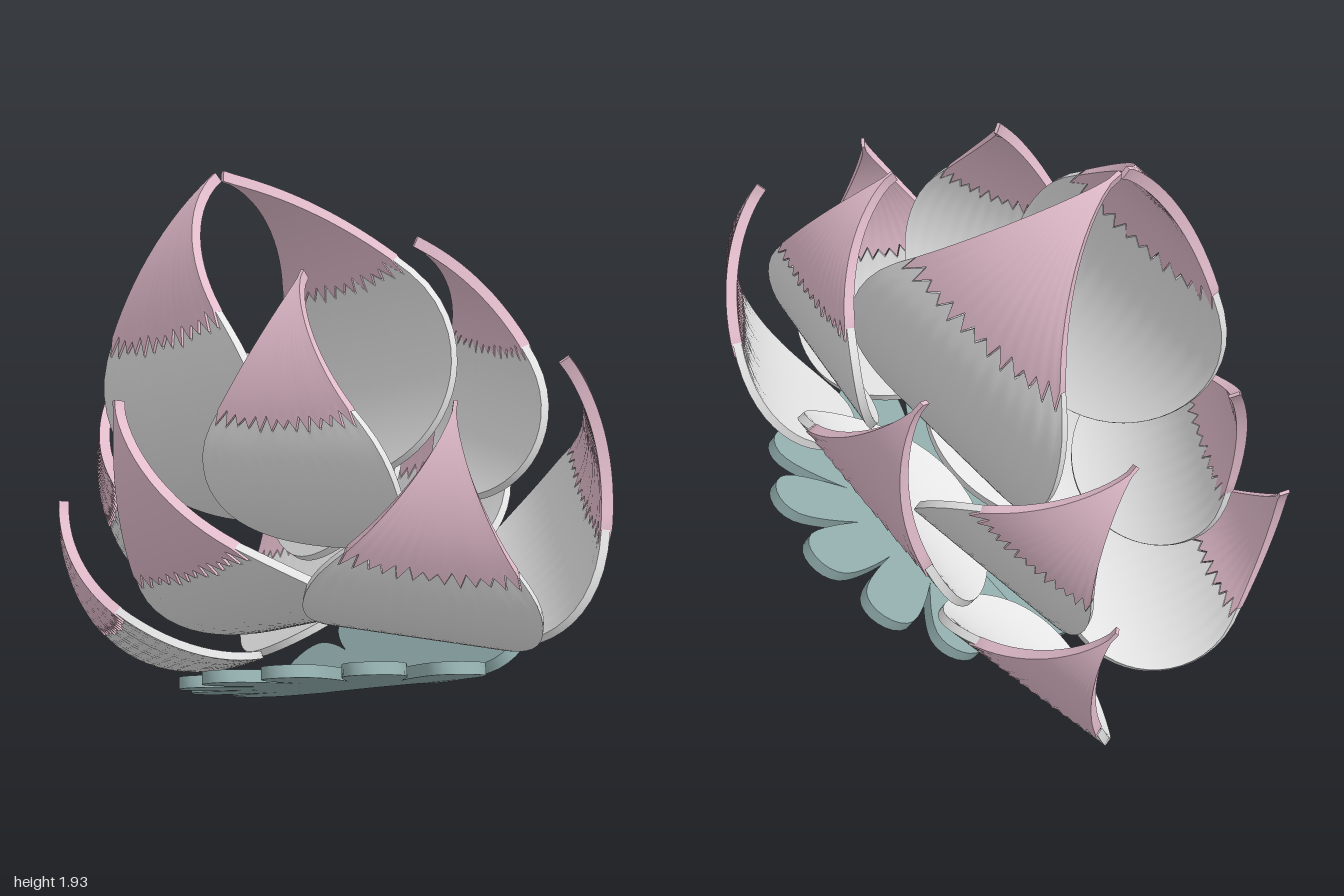
import * as THREE from 'three';
import { toCreasedNormals } from 'three/addons/utils/BufferGeometryUtils.js';

const V = (x, y, z) => new THREE.Vector3(x, y, z);

// Slightly tilted plane that divides the two halves of the bud
const planeN = V(-0.08, -0.03, 1).normalize();
const planeP = V(0, 0, -0.02);

function mirrored(geo) {
  const { x, y, z } = planeN;
  const k = 2 * planeN.dot(planeP);
  const m = new THREE.Matrix4().set(
    1 - 2 * x * x, -2 * x * y, -2 * x * z, k * x,
    -2 * x * y, 1 - 2 * y * y, -2 * y * z, k * y,
    -2 * x * z, -2 * y * z, 1 - 2 * z * z, k * z,
    0, 0, 0, 1);
  const g = geo.clone().applyMatrix4(m);
  // restore the corner order of each triangle
  for (const name of ['position', 'normal']) {
    const a = g.attributes[name];
    for (let i = 0; i < a.count; i += 3) {
      const p = V().fromBufferAttribute(a, i + 1);
      const q = V().fromBufferAttribute(a, i + 2);
      a.setXYZ(i + 1, q.x, q.y, q.z);
      a.setXYZ(i + 2, p.x, p.y, p.z);
    }
  }
  return g;
}

// Closed curved slab: outer and inner grids plus a rim
function slab(rows, cols, point, outer, inner) {
  const pos = [], idx = [];
  const layer = (rows + 1) * (cols + 1);
  for (const off of [outer, inner])
    for (let i = 0; i <= rows; i++)
      for (let j = 0; j <= cols; j++) pos.push(...point(i / rows, j, off).toArray());
  const id = (i, j) => i * (cols + 1) + j;
  for (let i = 0; i < rows; i++)
    for (let j = 0; j < cols; j++) {
      const [a, b, c, d] = [id(i, j), id(i + 1, j), id(i + 1, j + 1), id(i, j + 1)];
      idx.push(a, b, c, a, c, d);
      idx.push(a + layer, c + layer, b + layer, a + layer, d + layer, c + layer);
    }
  const rim = (a, b) => idx.push(b, a, a + layer, b, a + layer, b + layer);
  for (let i = 0; i < rows; i++) {
    rim(id(i, 0), id(i + 1, 0));
    rim(id(i + 1, cols), id(i, cols));
  }
  for (let j = 0; j < cols; j++) {
    rim(id(rows, j), id(rows, j + 1));
    rim(id(0, j + 1), id(0, j));
  }
  const g = new THREE.BufferGeometry();
  g.setAttribute('position', new THREE.Float32BufferAttribute(pos, 3));
  g.setIndex(idx);
  return toCreasedNormals(g, 0.6);
}

const SPLIT = 0.455; // where the tip meets the body along the petal
const COLS = 26;

// Half width along the petal: concave pointed tip, then a rounded body
function halfWidth(u) {
  if (u < SPLIT) return Math.max(0.012, 0.54 * Math.pow(u / SPLIT, 1.45));
  const x = -0.67 + 1.67 * (u - SPLIT) / (1 - SPLIT);
  return Math.max(0.012, 0.725 * Math.sqrt(Math.max(0, 1 - x * x)));
}

// Petal bent along its length; left and right are the corners of the tip
function petalParts(left, right, apex) {
  const mid = left.clone().add(right).multiplyScalar(0.5);
  const w = right.clone().sub(left).normalize();
  const t = apex.clone().sub(mid);
  t.addScaledVector(w, -t.dot(w));
  const c = t.length();
  t.normalize();
  const n = w.clone().cross(t);
  const at = (u, v, off) => {
    const a = THREE.MathUtils.degToRad(65 + 110 * u);
    const r = 1.185 * c + off;
    return mid.clone()
      .addScaledVector(t, 0.5 * c + r * Math.cos(a))
      .addScaledVector(n, -1.074 * c + r * Math.sin(a))
      .addScaledVector(w, v * c * halfWidth(u));
  };
  const lateral = j => -1 + 2 * j / COLS;
  // ragged, slightly sagging boundary between tip and body
  const edge = j => SPLIT - 0.008 + 0.025 * (1 - lateral(j) ** 2)
    + (j % 2 ? 0.018 : -0.018) + 0.006 * Math.sin(j * 2.3);
  return {
    petalTip: slab(14, COLS, (f, j, o) => at(f * edge(j), lateral(j), o), 0.006, -0.03),
    petalBody: slab(20, COLS, (f, j, o) => {
      const e = edge(j) + 0.006;
      return at(e + (1 - e) * Math.sin(f * Math.PI / 2), lateral(j), o);
    }, 0, -0.028),
  };
}

// Fan of rounded lobes that merge towards the middle, below the petals
function fanLobes() {
  const s = new THREE.Shape();
  s.moveTo(0, 0);
  s.lineTo(0.3, -0.072);
  s.bezierCurveTo(0.4, -0.092, 0.48, -0.1, 0.54, -0.095);
  s.bezierCurveTo(0.66, -0.09, 0.66, 0.09, 0.54, 0.095);
  s.bezierCurveTo(0.48, 0.1, 0.4, 0.092, 0.3, 0.072);
  s.closePath();
  const X = V(0.89, 0.45, 0.08).normalize();
  const Y = V(-0.13, 0.255, 0.67).divideScalar(0.63);
  const Z = X.clone().cross(Y).normalize();
  const basis = new THREE.Matrix4().makeBasis(X, Y, Z).setPosition(0.2, 0.285, 0.015);
  const lobes = [];
  for (let i = 0; i < 7; i++) {
    const g = new THREE.ExtrudeGeometry(s, { depth: 0.04, bevelEnabled: false, curveSegments: 10 });
    g.translate(0, 0, -0.04);
    g.rotateZ(THREE.MathUtils.degToRad(11 + 26.3 * i));
    g.applyMatrix4(basis);
    lobes.push(toCreasedNormals(g, 0.6));
  }
  return lobes;
}

export function createModel() {
  const model = new THREE.Group();
  const mats = {
    petalTip: new THREE.MeshStandardMaterial({ color: 0xe2bccb, name: 'pink' }),
    petalBody: new THREE.MeshStandardMaterial({ color: 0xe4e4e4, name: 'pale grey' }),
    leafLobe: new THREE.MeshStandardMaterial({ color: 0x91acac, name: 'grey teal' }),
  };
  // left corner, right corner and apex of each petal on the front half
  const petals = {
    topPetal: [V(-0.68, 1.40, 0.37), V(-0.09, 1.64, 0.43), V(-0.55, 1.94, 0.01)],
    upperPetal: [V(0, 1.38, 0.57), V(0.5, 1.47, 0.45), V(0.13, 1.80, 0.29)],
    leftPetal: [V(0.55, 1.10, 0.60), V(0.97, 1.04, 0.29), V(0.75, 1.55, 0.33)],
    centrePetal: [V(-0.38, 0.70, 0.57), V(0.18, 1.0, 0.61), V(-0.35, 1.37, 0.62)],
    rightPetal: [V(-0.82, 0.70, 0.31), V(-0.5, 1.01, 0.53), V(-0.85, 1.20, 0.21)],
    lowerPetal: [V(-0.9, 0.23, 0.31), V(-0.52, 0.51, 0.53), V(-1.0, 0.75, 0.38)],
  };
  for (const side of ['front', 'back']) {
    const half = new THREE.Group();
    half.name = side + 'Half';
    const add = (parent, geo, name) => {
      const mesh = new THREE.Mesh(side === 'back' ? mirrored(geo) : geo, mats[name]);
      mesh.name = name;
      parent.add(mesh);
    };
    for (const [name, pts] of Object.entries(petals)) {
      const g = new THREE.Group();
      g.name = name;
      for (const [part, geo] of Object.entries(petalParts(...pts))) add(g, geo, part);
      half.add(g);
    }
    const fan = new THREE.Group();
    fan.name = 'leafFan';
    for (const geo of fanLobes()) add(fan, geo, 'leafLobe');
    half.add(fan);
    model.add(half);
  }
  return model;
}
